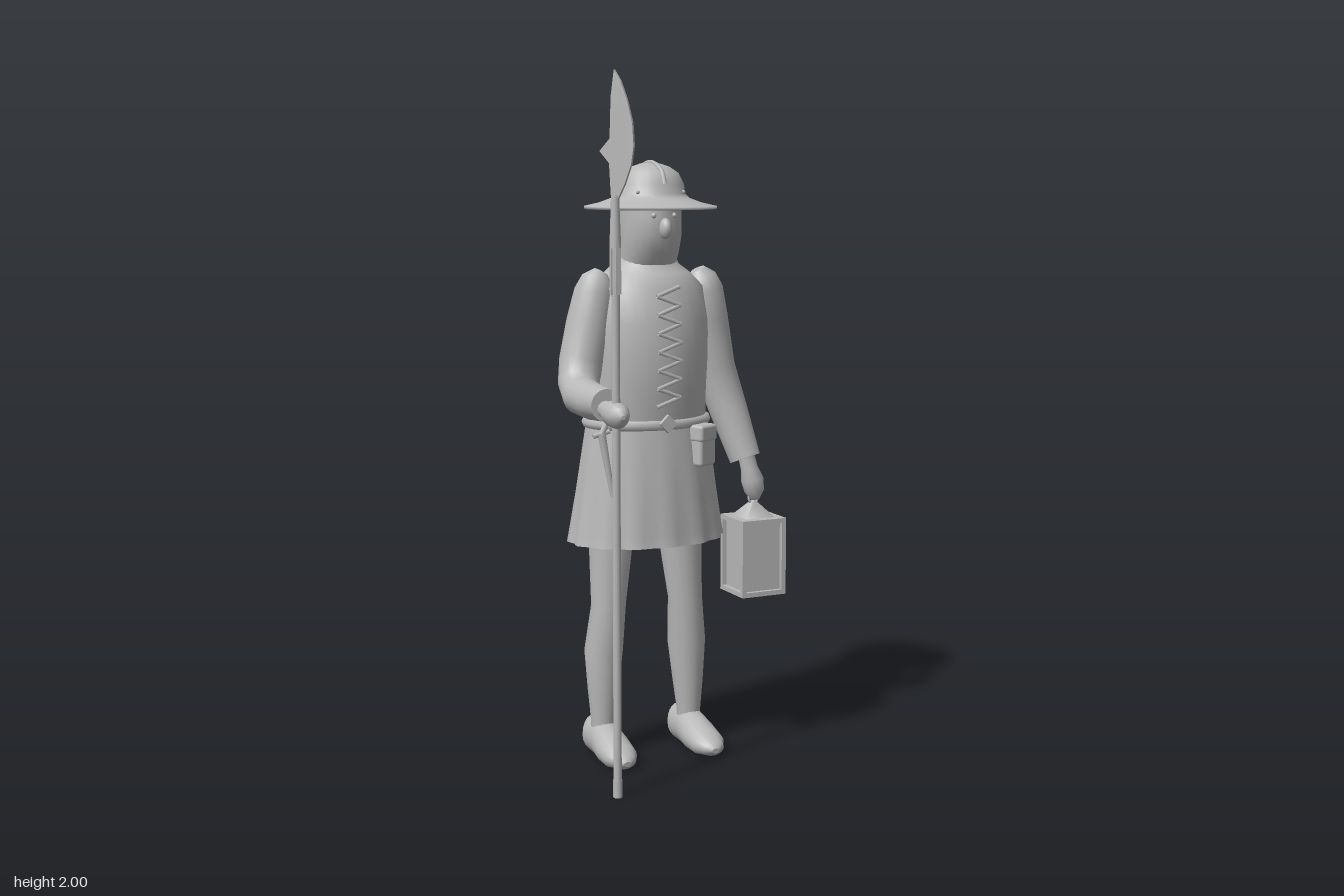
import * as THREE from 'three';
import { RoundedBoxGeometry } from 'three/addons/geometries/RoundedBoxGeometry.js';

const V = (x, y, z) => new THREE.Vector3(x, y, z);
const CX = -0.042; // body axis

// Skin rings [x, y, z, radiusU, radiusV] along their path; level keeps every ring horizontal.
function loft(rings, { n = 20, level = false, cap = true, shape = null } = {}) {
  const pos = [], idx = [], m = rings.length;
  const c = rings.map(r => V(r[0], r[1], r[2]));
  rings.forEach((r, i) => {
    let T = c[Math.min(i + 1, m - 1)].clone().sub(c[Math.max(i - 1, 0)]).normalize();
    if (level) T = V(0, Math.sign(c[m - 1].y - c[0].y), 0);
    const U = V(1, 0, 0).addScaledVector(T, -T.x).normalize();
    const W = T.clone().cross(U);
    for (let j = 0; j < n; j++) {
      const a = j / n * Math.PI * 2, k = shape ? shape(a, i) : 1;
      const p = c[i].clone().addScaledVector(U, Math.cos(a) * r[3] * k)
        .addScaledVector(W, Math.sin(a) * (r[4] ?? r[3]) * k);
      pos.push(p.x, Math.max(p.y, 0), p.z);
    }
  });
  for (let i = 0; i < m - 1; i++) for (let j = 0; j < n; j++) {
    const a = i * n + j, b = i * n + (j + 1) % n;
    idx.push(a, b, a + n, b, b + n, a + n);
  }
  if (cap) [0, m - 1].forEach(i => {
    const o = pos.length / 3, s = i * n;
    pos.push(...pos.slice(s * 3, (s + n) * 3), c[i].x, c[i].y, c[i].z);
    for (let j = 0; j < n; j++) {
      const a = o + j, b = o + (j + 1) % n;
      if (i) idx.push(a, b, o + n); else idx.push(b, a, o + n);
    }
  });
  const g = new THREE.BufferGeometry();
  g.setAttribute('position', new THREE.Float32BufferAttribute(pos, 3));
  g.setIndex(idx);
  g.computeVertexNormals();
  return g;
}

// Straight rod between two points
function rod(a, b, r1, r2 = r1, n = 8) {
  const d = b.clone().sub(a);
  const g = new THREE.CylinderGeometry(r2, r1, d.length(), n);
  g.applyQuaternion(new THREE.Quaternion().setFromUnitVectors(V(0, 1, 0), d.normalize()));
  const mid = a.clone().add(b).multiplyScalar(0.5);
  return g.translate(mid.x, mid.y, mid.z);
}

export function createModel() {
  const model = new THREE.Group();
  const grey = new THREE.MeshStandardMaterial({ color: 0xb8b8b8, side: THREE.DoubleSide });
  grey.name = 'plain grey';
  const add = (name, geo, x = 0, y = 0, z = 0) => {
    const mesh = new THREE.Mesh(geo, grey);
    mesh.name = name;
    mesh.position.set(x, y, z);
    model.add(mesh);
    return mesh;
  };

  // Legs and shoes
  for (const [side, s] of [['left', 1], ['right', -1]]) {
    const x = k => CX + s * k;
    add(side + 'Leg', loft([
      [x(0.142), 0.06, -0.125, 0.036], [x(0.142), 0.11, -0.123, 0.037], [x(0.14), 0.2, -0.125, 0.047],
      [x(0.137), 0.32, -0.128, 0.058], [x(0.126), 0.46, -0.115, 0.052], [x(0.113), 0.65, -0.125, 0.066],
      [x(0.105), 0.9, -0.125, 0.075]], { level: true }));
    add(side + 'Shoe', loft([
      [x(0.142), 0.05, -0.2, 0.034, 0.05], [x(0.142), 0.05, -0.175, 0.046, 0.056],
      [x(0.142), 0.05, -0.11, 0.048, 0.058], [x(0.143), 0.036, -0.05, 0.054, 0.05],
      [x(0.144), 0.026, 0.01, 0.052, 0.038], [x(0.144), 0.022, 0.045, 0.034, 0.022],
      [x(0.144), 0.02, 0.06, 0.012, 0.008]]));
  }

  // Tunic: pleated skirt and padded body
  add('skirt', loft([
    [CX, 0.65, -0.122, 0.238, 0.174], [CX, 0.68, -0.122, 0.233, 0.17], [CX, 0.8, -0.118, 0.215, 0.16],
    [CX, 0.92, -0.115, 0.199, 0.147], [CX, 1.01, -0.113, 0.186, 0.135]],
  { n: 56, level: true, cap: false, shape: (a, i) => 1 + [0.028, 0.025, 0.015, 0.006, 0][i] * Math.cos(14 * (a - Math.PI / 2)) }));
  add('torso', loft([
    [CX, 0.99, -0.113, 0.181, 0.132], [CX, 1.1, -0.1, 0.174, 0.14], [CX, 1.2, -0.093, 0.176, 0.143],
    [CX, 1.3, -0.095, 0.178, 0.14], [CX, 1.4, -0.1, 0.166, 0.125], [CX, 1.44, -0.113, 0.13, 0.106],
    [CX, 1.465, -0.12, 0.098, 0.086], [CX, 1.485, -0.118, 0.088, 0.082]], { n: 32, level: true }));

  // Zigzag lacing down the chest
  const lace = [];
  for (let i = 0; i <= 13; i++) {
    const y = 1.405 - i * 0.0265;
    lace.push(V(CX + (i % 2 ? -0.036 : 0.036), y, 0.046 - 0.42 * (y - 1.22) ** 2));
  }
  for (let i = 0; i < 13; i++) add('lace', rod(lace[i], lace[i + 1], 0.006, 0.006, 6));

  // Belt with diamond buckle
  const ring = [];
  for (let i = 0; i < 24; i++) {
    const a = i / 24 * Math.PI * 2;
    ring.push(V(CX + Math.cos(a) * 0.18, 1.005, -0.117 + Math.sin(a) * 0.132));
  }
  add('belt', new THREE.TubeGeometry(new THREE.CatmullRomCurve3(ring, true), 64, 0.018, 8, true));
  add('buckle', new THREE.BoxGeometry(0.038, 0.038, 0.014).rotateZ(Math.PI / 4), CX, 1.01, 0.032);

  // Belt pouch
  add('pouch', new RoundedBoxGeometry(0.072, 0.115, 0.045, 2, 0.01).rotateY(0.45), 0.08, 0.935, 0.012);
  add('pouchFlap', new RoundedBoxGeometry(0.076, 0.05, 0.052, 2, 0.01).rotateY(0.45), 0.08, 0.975, 0.013);

  // Dagger
  add('daggerSheath', rod(V(-0.213, 0.81, 0.022), V(-0.242, 0.99, 0.012), 0.007, 0.013));
  add('daggerGuard', rod(V(-0.268, 0.985, 0.012), V(-0.218, 0.997, 0.012), 0.007));
  add('daggerHandle', rod(V(-0.242, 0.99, 0.012), V(-0.222, 1.035, 0.015), 0.009));
  add('daggerPommel', new THREE.SphereGeometry(0.014, 10, 8), -0.221, 1.04, 0.015);

  // Arms and hands
  add('leftArm', loft([
    [0.115, 1.445, -0.095, 0.022], [0.125, 1.425, -0.095, 0.045], [0.132, 1.39, -0.095, 0.06], [0.143, 1.3, -0.1, 0.068],
    [0.175, 1.15, -0.105, 0.064], [0.213, 1.02, -0.08, 0.057], [0.245, 0.88, -0.035, 0.047]]));
  add('leftHand', loft([
    [0.247, 0.9, -0.037, 0.024], [0.258, 0.85, -0.032, 0.026], [0.267, 0.815, -0.03, 0.034],
    [0.273, 0.78, -0.028, 0.03], [0.276, 0.755, -0.028, 0.014]], { n: 12 }));
  add('rightArm', loft([
    [-0.195, 1.445, -0.095, 0.022], [-0.207, 1.425, -0.095, 0.045], [-0.214, 1.39, -0.095, 0.06], [-0.23, 1.3, -0.1, 0.067],
    [-0.26, 1.19, -0.092, 0.064], [-0.278, 1.13, -0.068, 0.06], [-0.29, 1.1, -0.015, 0.056],
    [-0.296, 1.095, 0.08, 0.052], [-0.296, 1.095, 0.172, 0.046]]));
  add('rightHand', loft([
    [-0.298, 1.085, 0.15, 0.024], [-0.299, 1.083, 0.19, 0.026], [-0.301, 1.08, 0.225, 0.034, 0.036],
    [-0.301, 1.077, 0.265, 0.034, 0.036], [-0.302, 1.077, 0.29, 0.022, 0.026], [-0.302, 1.077, 0.3, 0.006]], { n: 12 }));

  // Head and face
  add('head', loft([
    [CX, 1.46, -0.115, 0.087, 0.08], [CX, 1.5, -0.098, 0.087, 0.09], [CX, 1.55, -0.088, 0.089, 0.1],
    [CX, 1.6, -0.087, 0.088, 0.101], [CX, 1.66, -0.087, 0.086, 0.095]], { n: 24, level: true }));
  add('nose', new THREE.SphereGeometry(1, 12, 10).scale(0.018, 0.03, 0.024), CX, 1.57, 0.015);
  for (const s of [-1, 1]) add('eye', new THREE.SphereGeometry(0.008, 8, 6), CX + s * 0.032, 1.607, 0.006);

  // Brimmed helmet with crest and rivets
  const dome = [[0.101, 1.668], [0.098, 1.695], [0.082, 1.727], [0.055, 1.745], [0.028, 1.754], [0, 1.757]];
  const profile = [[0.08, 1.645], [0.192, 1.624], [0.194, 1.632], [0.15, 1.642], [0.115, 1.655], ...dome];
  add('helmet', new THREE.LatheGeometry(profile.map(p => new THREE.Vector2(...p)), 24), CX, 0, -0.087);
  const crest = [...dome.slice(1).map(p => V(0, p[1], p[0])), ...dome.slice(1, -1).reverse().map(p => V(0, p[1], -p[0]))];
  add('helmetCrest', new THREE.TubeGeometry(new THREE.CatmullRomCurve3(crest), 32, 0.007, 8), CX, 0, -0.087);
  for (const sx of [-1, 1]) for (const sz of [-1, 1])
    add('rivet', new THREE.SphereGeometry(0.006, 8, 6), CX + sx * 0.072, 1.673, -0.087 + sz * 0.072);

  // Polearm
  const px = -0.301, pz = 0.248;
  const stage = (name, y0, y1, r1, r2, n = 12) => add(name, rod(V(px, y0, pz), V(px, y1, pz), r1, r2, n));
  stage('poleShaft', 0.03, 1.56, 0.0115, 0.0115);
  stage('poleFoot', 0, 0.05, 0.013, 0.013);
  stage('bladeSocket', 1.53, 1.67, 0.016, 0.011);
  for (const s of [-1, 1]) {
    add('socketStrap', new THREE.BoxGeometry(0.01, 0.14, 0.005), px, 1.475, pz + s * 0.0125);
    add('socketStrap', new THREE.BoxGeometry(0.005, 0.14, 0.01), px + s * 0.0125, 1.475, pz);
  }
  const outline = [[0.008, 1.655], [0.032, 1.7], [0.052, 1.75], [0.06, 1.8], [0.056, 1.86], [0.04, 1.92], [0.02, 1.97],
    [0, 2], [-0.01, 1.93], [-0.014, 1.82], [-0.046, 1.787], [-0.016, 1.755], [-0.01, 1.655]];
  const blade = new THREE.ExtrudeGeometry(new THREE.Shape(outline.map(p => new THREE.Vector2(...p))),
    { depth: 0.008, bevelEnabled: false }).translate(0, 0, -0.004).rotateY(-0.96);
  add('blade', blade, px, 0, pz);

  // Lantern: posts, recessed panes, plates and a pyramid lid
  const lantern = new THREE.Group();
  lantern.name = 'lantern';
  lantern.position.set(0.27, 0, -0.028);
  model.add(lantern);
  const part = (name, geo, x, y, z) => lantern.add(add(name, geo, x, y, z));
  part('lanternPanes', new THREE.BoxGeometry(0.118, 0.22, 0.118), 0, 0.588, 0);
  part('lanternBase', new THREE.BoxGeometry(0.146, 0.014, 0.146), 0, 0.479, 0);
  part('lanternTop', new THREE.BoxGeometry(0.146, 0.014, 0.146), 0, 0.697, 0);
  for (const sx of [-1, 1]) for (const sz of [-1, 1])
    part('lanternPost', new THREE.BoxGeometry(0.014, 0.232, 0.014), sx * 0.066, 0.588, sz * 0.066);
  part('lanternLid', new THREE.CylinderGeometry(0.006, 0.068, 0.05, 4).rotateY(Math.PI / 4).toNonIndexed(), 0, 0.728, 0);
  part('lanternHandle', new THREE.TorusGeometry(0.016, 0.004, 6, 16), 0, 0.76, 0);

  return model;
}
